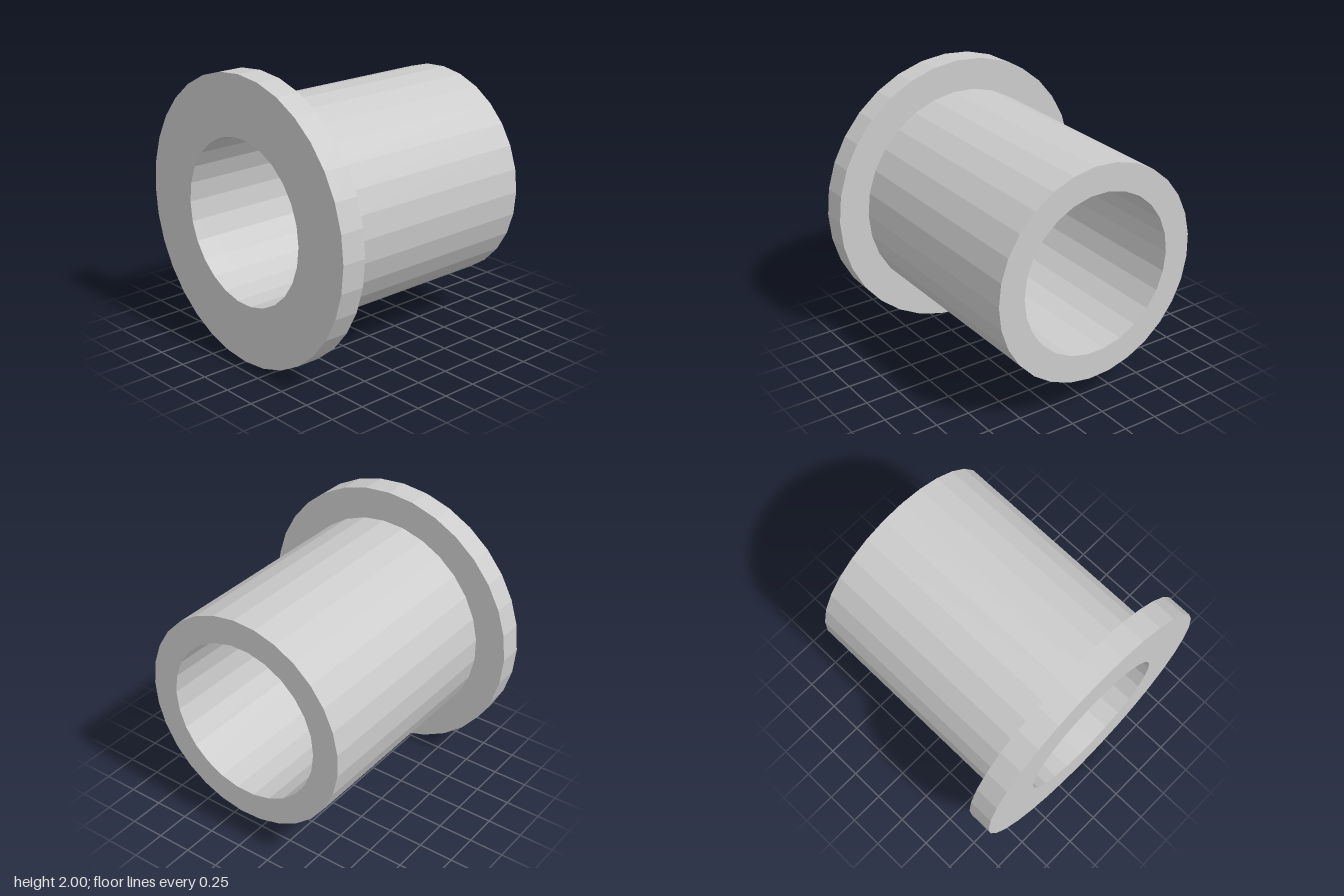
import * as THREE from 'three';

// Regular polygon with its first corner on +x
function ring(radius, sides) {
  return Array.from({ length: sides }, (_, i) => {
    const a = (i / sides) * Math.PI * 2;
    return new THREE.Vector2(Math.cos(a) * radius, Math.sin(a) * radius);
  });
}

export function createModel() {
  const group = new THREE.Group();
  group.name = 'flangedBushing';
  const material = new THREE.MeshStandardMaterial({ color: 0xcccccc, flatShading: true });

  const boreRadius = 0.578;
  const boreSides = 26;

  // Hollow prism around the bore, running from zBack to zFront
  function addSleeve(name, radius, sides, zBack, zFront) {
    const shape = new THREE.Shape(ring(radius, sides));
    shape.holes.push(new THREE.Path(ring(boreRadius, boreSides)));
    const geometry = new THREE.ExtrudeGeometry(shape, {
      depth: zFront - zBack,
      bevelEnabled: false,
    });
    const mesh = new THREE.Mesh(geometry, material);
    mesh.name = name;
    mesh.position.set(0, 1, zBack);
    group.add(mesh);
  }

  addSleeve('flange', 1, 32, 0.73, 0.908);
  addSleeve('barrel', 0.772, 29, -0.908, 0.73);

  return group;
}
